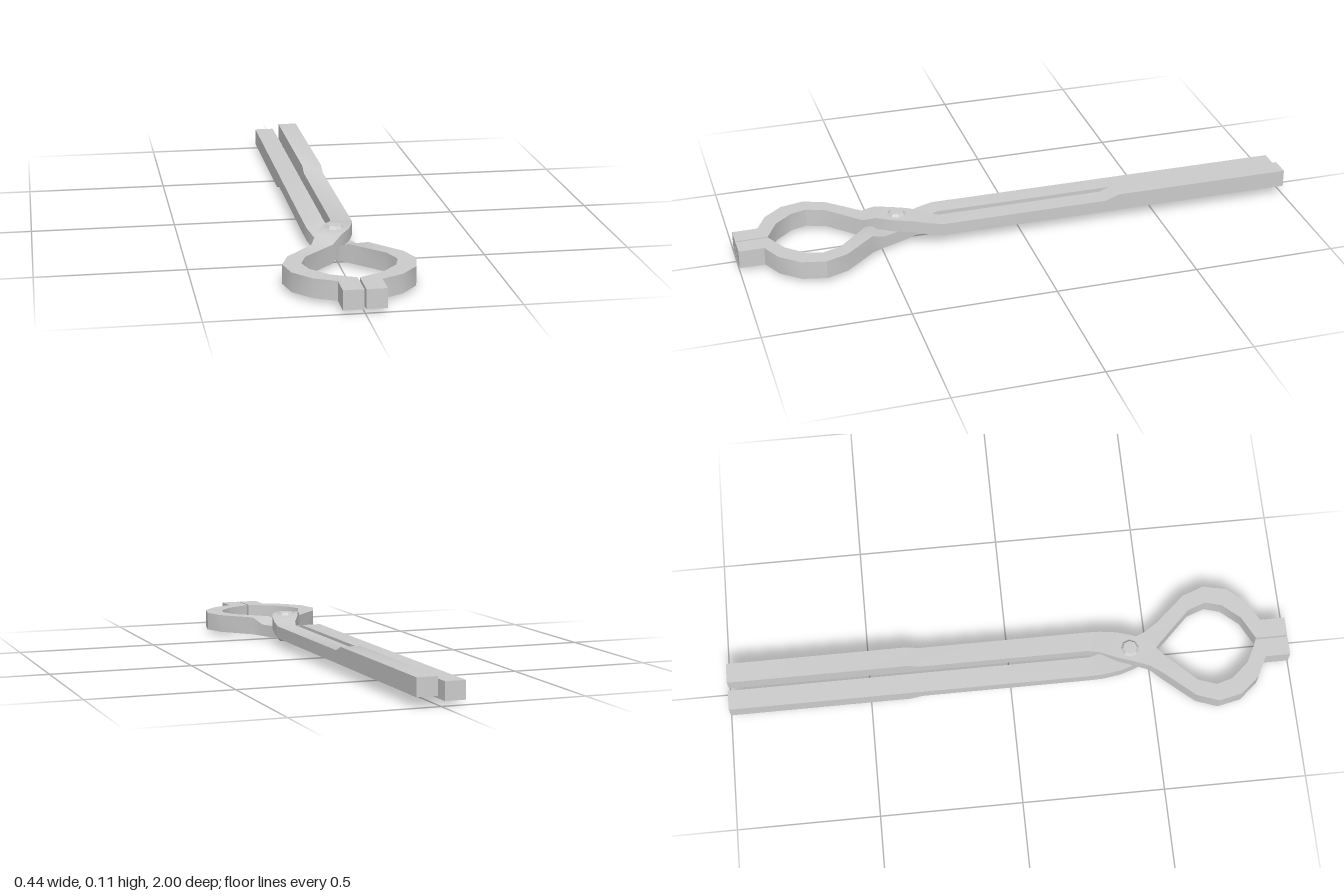
import * as THREE from 'three';
import { toCreasedNormals } from 'three/addons/utils/BufferGeometryUtils.js';

const material = new THREE.MeshStandardMaterial({ color: 0xcccccc });

// Plan of one arm from jaw tip to handle end: [xA, zA, xB, zB] for its two edges.
const plan = [
  [-0.07, 1, -0.003, 1],
  [-0.07, 0.912, -0.003, 0.887],
  [-0.143, 0.875, -0.085, 0.845],
  [-0.2, 0.808, -0.14, 0.782],
  [-0.218, 0.725, -0.156, 0.725],
  [-0.19, 0.648, -0.133, 0.66],
  [-0.095, 0.54, -0.025, 0.55],
  [-0.072, 0.495, 0.012, 0.51],
  [-0.05, 0.44, 0.045, 0.455],
  [-0.03, 0.385, 0.065, 0.395],
  [0, 0.325, 0.078, 0.335],
  [0.012, 0.285, 0.083, 0.285],
  [0.012, -0.315, 0.083, -0.315],
  [0.012, -0.36, 0.083, -0.36],
  [0.012, -1, 0.083, -1],
];

// Bottom and top heights at the same stations.
const jaw = [0.013, 0.078], shank = [0.034, 0.078];
const upperHeights = [jaw, jaw, jaw, jaw, jaw, jaw, jaw,
  [0.056, 0.1], [0.056, 0.1], [0.054, 0.098], [0.042, 0.087],
  shank, shank, [0.034, 0.096], [0.034, 0.096]];
const lowerHeights = [jaw, jaw, jaw, jaw, jaw, jaw, jaw,
  [0.012, 0.056], [0.012, 0.056], [0.014, 0.058], [0.025, 0.07],
  shank, shank, [0.016, 0.078], [0.016, 0.078]];

// Loft a rectangular bar through the stations; side = -1 mirrors it in x.
function arm(name, heights, side) {
  const positions = [], index = [];
  plan.forEach(([xa, za, xb, zb], i) => {
    const [low, high] = heights[i];
    positions.push(side * xa, low, za, side * xb, low, zb,
      side * xb, high, zb, side * xa, high, za);
  });
  const quad = (a, b, c, d) => (side > 0
    ? index.push(a, b, c, a, c, d)
    : index.push(a, c, b, a, d, c));
  const last = (plan.length - 1) * 4;
  for (let i = 0; i < last; i += 4) {
    for (let k = 0; k < 4; k++) {
      const n = (k + 1) % 4;
      quad(i + k, i + 4 + k, i + 4 + n, i + n);
    }
  }
  quad(0, 1, 2, 3);
  quad(last + 3, last + 2, last + 1, last);
  const geometry = new THREE.BufferGeometry();
  geometry.setAttribute('position', new THREE.Float32BufferAttribute(positions, 3));
  geometry.setIndex(index);
  const mesh = new THREE.Mesh(toCreasedNormals(geometry, 0.55), material);
  mesh.name = name;
  return mesh;
}

export function createModel() {
  const group = new THREE.Group();
  group.name = 'tongs';
  group.add(arm('upperArm', upperHeights, 1), arm('lowerArm', lowerHeights, -1));

  // Eight-sided rivet with a bevelled head at each end
  const profile = [[0, 0], [0.024, 0], [0.033, 0.011], [0.02, 0.012],
    [0.02, 0.099], [0.033, 0.1], [0.024, 0.11], [0, 0.11]]
    .map(([r, y]) => new THREE.Vector2(r, y));
  const rivetGeometry = toCreasedNormals(new THREE.LatheGeometry(profile, 8), 0.3);
  const rivet = new THREE.Mesh(rivetGeometry, material);
  rivet.name = 'rivet';
  rivet.position.z = 0.432;
  group.add(rivet);
  return group;
}
